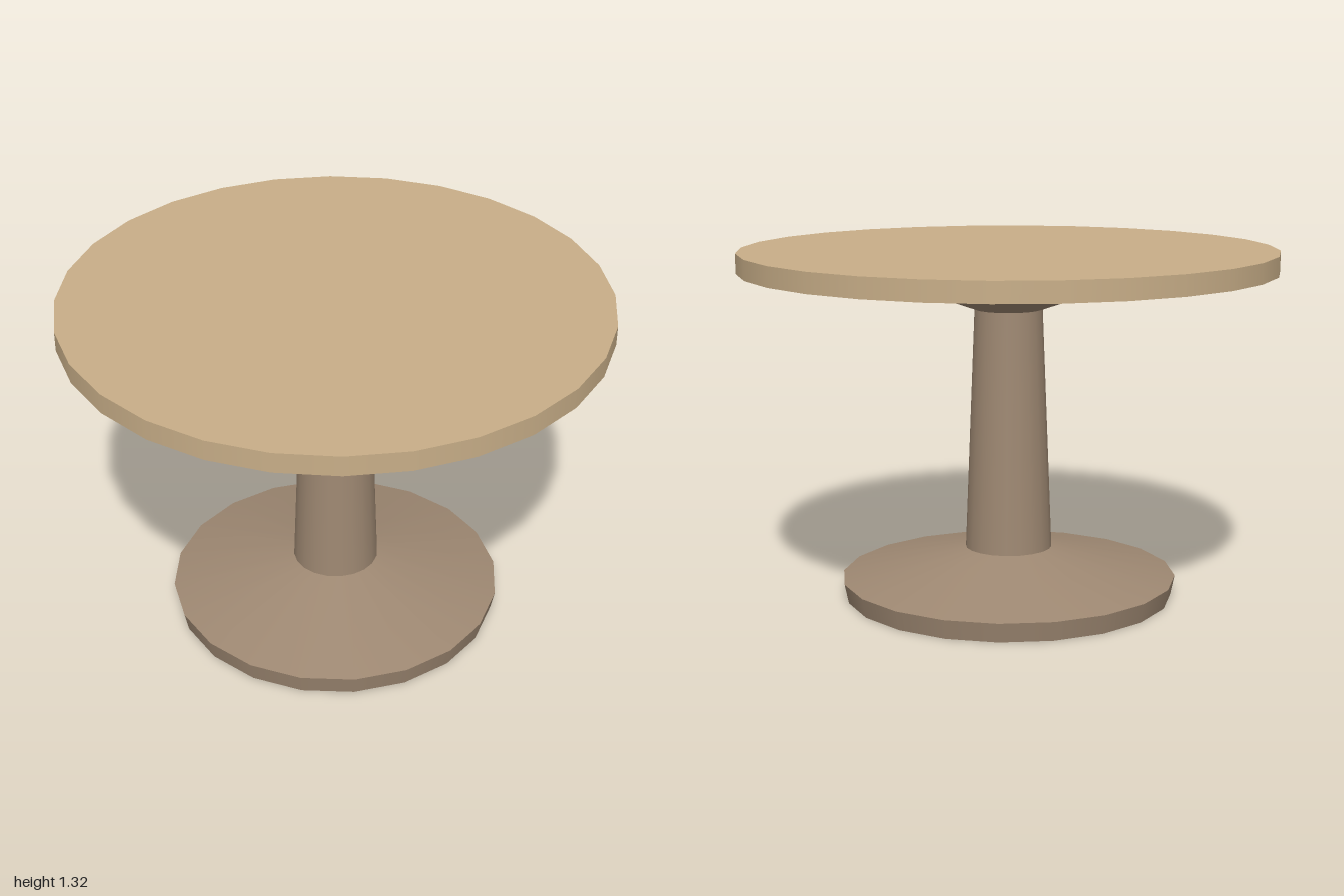
import * as THREE from 'three';

export function createModel() {
  const group = new THREE.Group();
  const topWood = new THREE.MeshStandardMaterial({ color: 0xc8ae88 });
  topWood.name = 'light wood';
  const baseWood = new THREE.MeshStandardMaterial({ color: 0x9e8872 });
  baseWood.name = 'dark wood';

  // Round tapered section between two heights
  function section(name, material, rTop, rBottom, y0, y1, sides, open = false) {
    const geometry = new THREE.CylinderGeometry(rTop, rBottom, y1 - y0, sides, 1, open);
    const mesh = new THREE.Mesh(geometry, material);
    mesh.name = name;
    mesh.position.y = (y0 + y1) / 2;
    group.add(mesh);
  }

  // Pedestal foot: flared rim with a shallow cone above it
  section('footRim', baseWood, 0.635, 0.62, 0, 0.073, 20);
  section('footCone', baseWood, 0.165, 0.635, 0.073, 0.185, 20, true);

  // Tapered column
  section('column', baseWood, 0.127, 0.163, 0.183, 1.095, 20, true);

  // Flared support under the top
  section('topSupport', baseWood, 0.55, 0.127, 1.093, 1.241, 20);

  // Table top
  section('tableTop', topWood, 1, 1, 1.241, 1.315, 28);

  return group;
}
